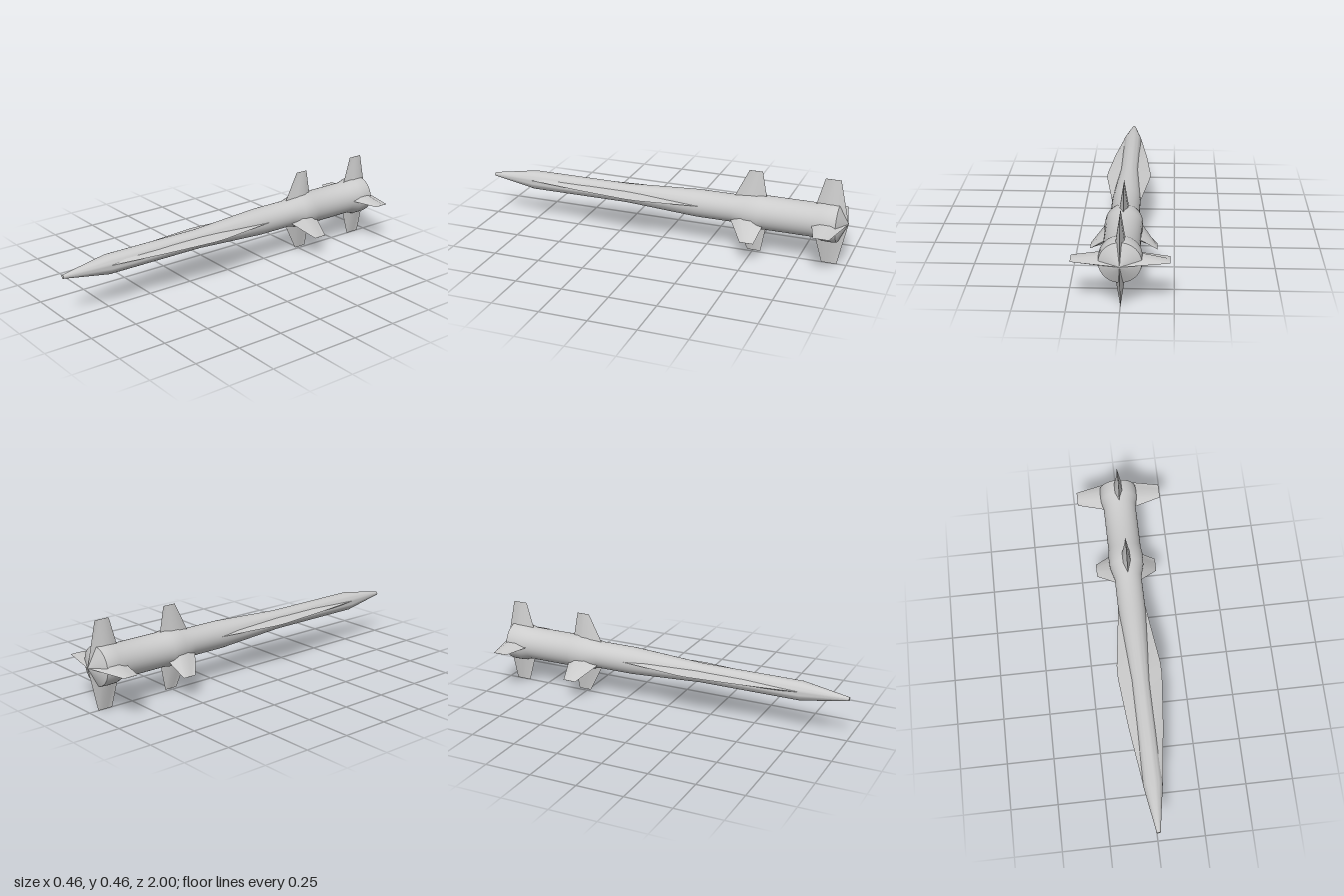
import * as THREE from 'three';
import { toCreasedNormals } from 'three/addons/utils/BufferGeometryUtils.js';

const AXIS_Y = 0.23;
const material = new THREE.MeshStandardMaterial({ color: 0xcccccc });

// Skin a list of rings (each counter-clockwise seen from the far end) and cap both ends
function loft(rings, crease) {
  const n = rings[0].length;
  const index = [];
  for (let i = 0; i < rings.length - 1; i++) {
    for (let j = 0; j < n; j++) {
      const a = i * n + j, b = i * n + (j + 1) % n;
      index.push(a, b, b + n, a, b + n, a + n);
    }
  }
  const last = (rings.length - 1) * n;
  for (let j = 1; j < n - 1; j++) {
    index.push(0, j + 1, j, last, last + j, last + j + 1);
  }
  const geometry = new THREE.BufferGeometry();
  geometry.setAttribute('position', new THREE.Float32BufferAttribute(rings.flat(2), 3));
  geometry.setIndex(index);
  return toCreasedNormals(geometry, crease);
}

// Tapered double-wedge fin pointing up; root and tip are { r, lead, trail, w }
function finGeometry(root, tip) {
  const ring = ({ r, lead, trail, w }) => {
    const front = lead + (trail - lead) * 0.36;
    const back = lead + (trail - lead) * 0.66;
    return [[0, r, lead], [w, r, front], [w, r, back], [0, r, trail], [-w, r, back], [-w, r, front]];
  };
  return loft([ring(root), ring(tip)], 0.7);
}

export function createModel() {
  const model = new THREE.Group();
  const add = (name, geometry, angle = 0) => {
    const mesh = new THREE.Mesh(geometry, material);
    mesh.name = name;
    mesh.position.y = AXIS_Y;
    mesh.rotation.z = angle;
    model.add(mesh);
  };

  // Round body from tail point to blunt nose: [radius, z]
  const profile = [
    [0, -1], [0.1, -0.952], [0.103, -0.93], [0.102, -0.875], [0.089, -0.83],
    [0.089, -0.57], [0.094, -0.545], [0.092, -0.475], [0.073, -0.4], [0.073, -0.2],
    [0.051, 0.2], [0.051, 0.75], [0.01, 1], [0, 1],
  ].map(([r, z]) => new THREE.Vector2(r, z));
  const body = new THREE.LatheGeometry(profile, 40).rotateX(Math.PI / 2);
  add('body', toCreasedNormals(body, 0.5));

  // Four tail fins whose trailing edges meet at the tail point
  const tailFin = finGeometry(
    { r: 0, lead: -0.805, trail: -1, w: 0.035 },
    { r: 0.23, lead: -0.87, trail: -0.95, w: 0.0005 });
  for (let i = 0; i < 4; i++) add('tailFin', tailFin, i * Math.PI / 2);

  // Middle fins: upper, lower, and a shorter, thicker pair angled down
  const midFin = finGeometry(
    { r: 0.04, lead: -0.384, trail: -0.579, w: 0.028 },
    { r: 0.222, lead: -0.475, trail: -0.545, w: 0.0005 });
  add('upperMiddleFin', midFin);
  add('lowerMiddleFin', midFin, Math.PI);
  const sideFin = finGeometry(
    { r: 0.04, lead: -0.375, trail: -0.579, w: 0.048 },
    { r: 0.2, lead: -0.478, trail: -0.55, w: 0.0005 });
  for (const s of [1, -1]) add('sideMiddleFin', sideFin, s * THREE.MathUtils.degToRad(124.4));

  // Long thin strakes along the sides: [z, half span]
  const strake = [[-0.25, 0.07], [0.1, 0.116], [0.17, 0.117], [0.45, 0.09], [0.75, 0.05]];
  for (const side of [1, -1]) {
    const rings = strake.map(([z, x]) => {
      const ring = [[side * 0.03, -0.004, z], [side * x, 0.011, z], [side * 0.03, 0.028, z]];
      return side > 0 ? ring : ring.reverse();
    });
    add(side > 0 ? 'leftStrake' : 'rightStrake', loft(rings, 0.6));
  }
  return model;
}
